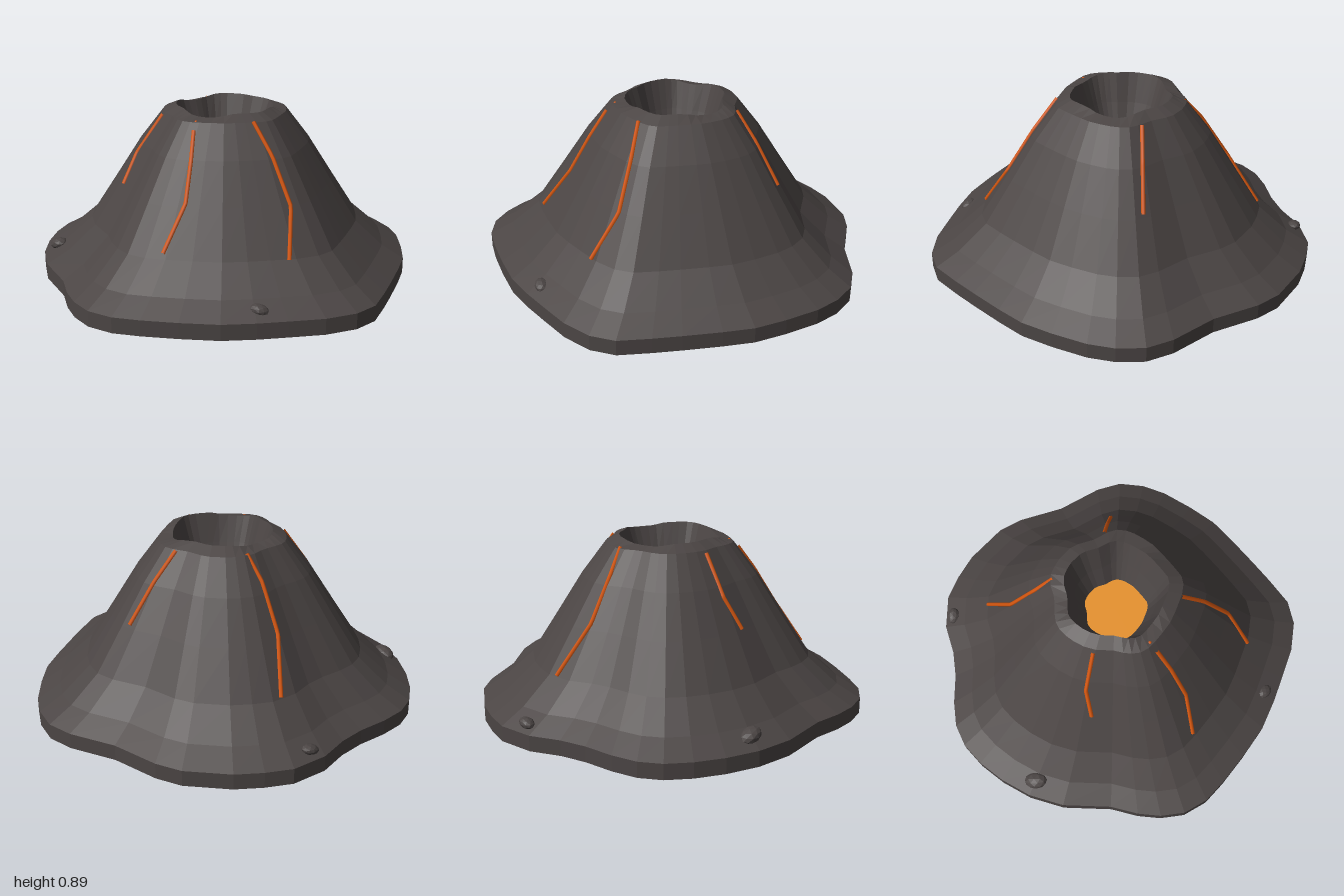
import * as THREE from 'three';

// Wavy footprint (x, z), shared by every ring of the cone
const OUTLINE = [
  [1, .08], [.98, .21], [.9, .35], [.785, .48], [.685, .59], [.565, .705], [.405, .81], [.25, .9],
  [.125, .96], [-.01, .98], [-.135, .95], [-.245, .895], [-.365, .81], [-.6, .71], [-.75, .595],
  [-.86, .465], [-.94, .335], [-.99, .21], [-1, .09], [-.97, -.04], [-.915, -.185], [-.885, -.32],
  [-.877, -.48], [-.81, -.65], [-.715, -.75], [-.605, -.84], [-.395, -.945], [-.26, -.965],
  [-.01, -.95], [.235, -.99], [.375, -.98], [.5, -.915], [.6, -.825], [.71, -.68], [.8, -.54],
  [.855, -.395], [.915, -.215], [.957, -.08],
];
const CX = -.01, CZ = -.04; // crater axis

// Outer slope as [footprint scale, height]
const SLOPE = [[1, .08], [.88, .15], [.73, .28], [.585, .5], [.455, .7], [.33, .86]];
const CRATER = [[.26, .892], [.21, .74], [.163, .62]];

// Skins scaled copies of the footprint; rimDip makes the crater lip uneven
function ringSkin(profile, rimDip = 0) {
  const n = OUTLINE.length, pos = [];
  const point = ([s, y], i) => {
    const [x, z] = OUTLINE[i % n];
    const a = Math.atan2(z - CZ, x - CX);
    const dip = y > .88 ? rimDip * Math.max(0, Math.cos(3 * (a + .85))) : 0;
    return [CX + (x - CX) * s, y - dip, CZ + (z - CZ) * s];
  };
  for (let r = 0; r < profile.length - 1; r++) {
    const lo = profile[r], hi = profile[r + 1];
    for (let i = 0; i < n; i++) {
      const a = point(lo, i), b = point(lo, i + 1), c = point(hi, i), d = point(hi, i + 1);
      if (lo[0] > 0) pos.push(...a, ...c, ...b);
      if (hi[0] > 0) pos.push(...b, ...c, ...d);
      else if (lo[0] === 0) continue;
    }
  }
  const g = new THREE.BufferGeometry();
  g.setAttribute('position', new THREE.Float32BufferAttribute(pos, 3));
  g.computeVertexNormals();
  return g;
}

// Height of the outer slope at (x, z)
function slopeHeight(x, z) {
  const dx = x - CX, dz = z - CZ;
  let s = 1;
  for (let i = 0; i < OUTLINE.length; i++) {
    const p = OUTLINE[i], q = OUTLINE[(i + 1) % OUTLINE.length];
    const px = p[0] - CX, pz = p[1] - CZ, ex = q[0] - p[0], ez = q[1] - p[1];
    const det = dx * ez - dz * ex;
    const t = (px * ez - pz * ex) / det; // ray reach to this edge
    const u = (px * dz - pz * dx) / det; // place along the edge
    if (t > 0 && u >= 0 && u <= 1) s = 1 / t;
  }
  for (let k = 0; k < SLOPE.length - 1; k++) {
    const [s0, y0] = SLOPE[k], [s1, y1] = SLOPE[k + 1];
    if (s <= s0 && s >= s1) return y0 + (y1 - y0) * (s0 - s) / (s0 - s1);
  }
  return s > 1 ? SLOPE[0][1] : .86;
}

export function createModel() {
  const group = new THREE.Group();
  const rock = new THREE.MeshStandardMaterial({ color: 0x4b4544 });
  rock.name = 'dark rock';
  rock.flatShading = true;
  const lava = new THREE.MeshStandardMaterial({ color: 0xe6912a });
  lava.name = 'bright lava';
  const stream = new THREE.MeshStandardMaterial({ color: 0xd4560f });
  stream.name = 'orange lava';

  const add = (name, geometry, material) => {
    const mesh = new THREE.Mesh(geometry, material);
    mesh.name = name;
    group.add(mesh);
    return mesh;
  };

  // Underside, base edge, slope and crater wall
  add('cone', ringSkin([[0, 0], [1, 0], ...SLOPE, ...CRATER], .02), rock);
  add('lavaPool', ringSkin([[.163, .62], [0, .62]]), lava);

  // Lava streams laid on the slope, as (x, z) paths
  const streams = [
    [[.07, .305], [.12, .385], [.17, .485], [.16, .64]],
    [[.28, .1], [.41, .115], [.55, .15], [.635, .275]],
    [[-.22, .21], [-.305, .32], [-.315, .415]],
    [[-.27, -.215], [-.37, -.235], [-.5, -.295], [-.61, -.44]],
    [[.05, -.355], [.105, -.46], [.17, -.585]],
  ];
  for (const path of streams) {
    const curve = new THREE.CurvePath();
    const pts = path.map(([x, z]) => new THREE.Vector3(x, slopeHeight(x, z) + .003, z));
    for (let i = 0; i < pts.length - 1; i++) curve.add(new THREE.LineCurve3(pts[i], pts[i + 1]));
    add('lavaStream', new THREE.TubeGeometry(curve, 24, .011, 6), stream);
  }
  // Small spill at the front lip
  const spill = add('lavaSpill', new THREE.IcosahedronGeometry(.011, 1), stream);
  spill.position.set(.05, .855, .265);

  // Half-buried boulders near the foot: x, y, z, radius, turn
  for (const [x, y, z, r, turn] of [
    [-.69, .125, .54, .062, -.4], [.65, .115, .525, .047, .5], [-.815, .115, -.515, .045, 1.1],
  ]) {
    const boulder = add('boulder', new THREE.IcosahedronGeometry(r, 1), rock);
    boulder.scale.set(1, .55, .75);
    boulder.rotation.set(0, turn, x < 0 ? .25 : -.25);
    boulder.position.set(x, y, z);
  }
  return group;
}
